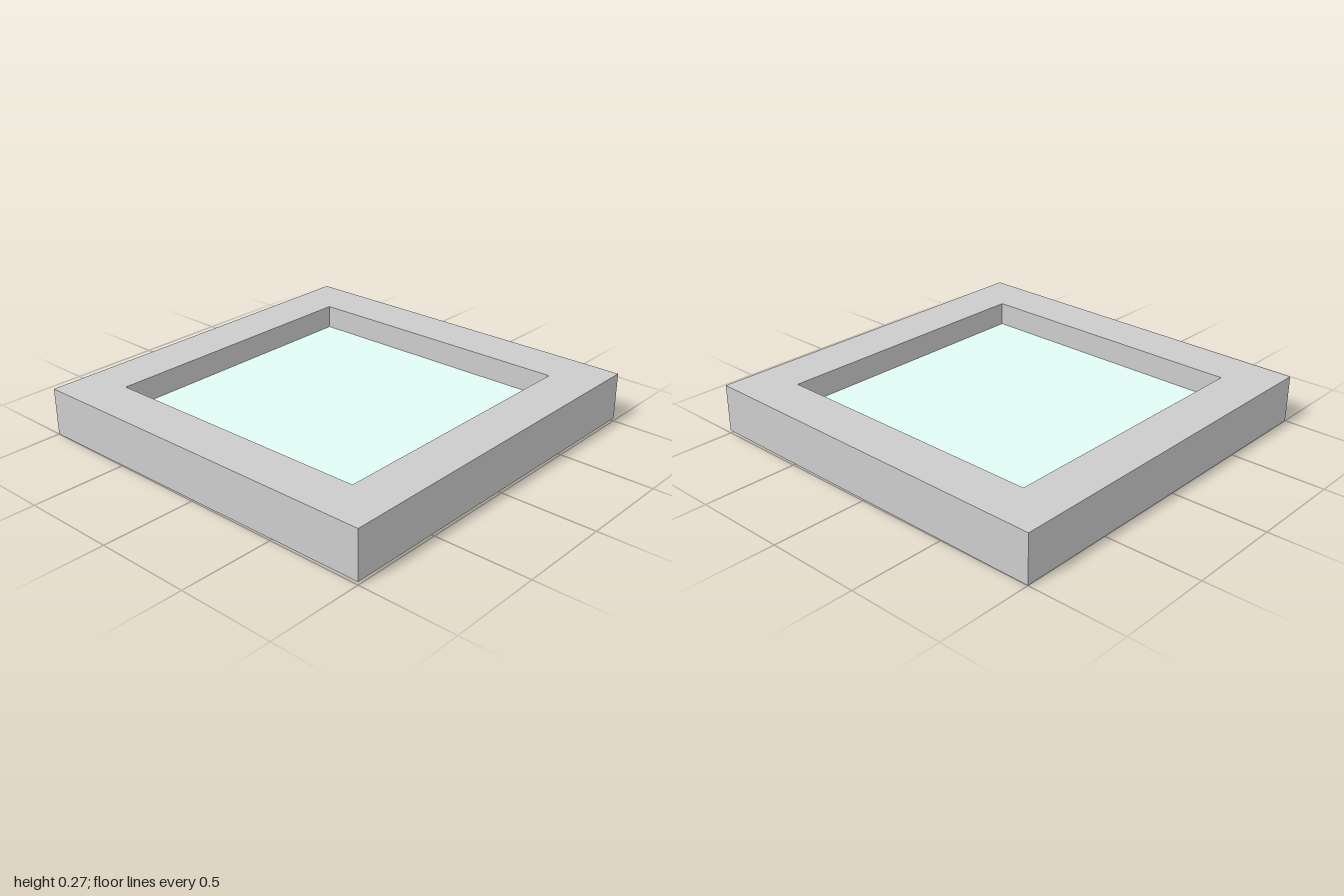
import * as THREE from 'three';

const material = (color) => new THREE.MeshStandardMaterial({ color });

// Thin square sheet lying flat between two heights
function sheet(name, half, y0, y1, color) {
  const mesh = new THREE.Mesh(new THREE.BoxGeometry(2 * half, y1 - y0, 2 * half), material(color));
  mesh.position.y = (y0 + y1) / 2;
  mesh.name = name;
  return mesh;
}

export function createModel() {
  const group = new THREE.Group();
  group.name = 'pictureFrame';

  // Slight tilt that lifts the front edge
  const body = new THREE.Group();
  body.name = 'tiltedBody';
  body.rotation.x = -0.0075;
  body.position.y = 0.0075;
  group.add(body);

  // Square frame: moulding profile [half width, height] with a rebate behind the lip,
  // swept round four sides
  const profile = [
    [0.875, 0], [1, 0], [1, 0.25], [0.75, 0.25], [0.75, 0.125], [0.875, 0.125], [0.875, 0],
  ].map(([half, y]) => new THREE.Vector2(half * Math.SQRT2, y));
  const ring = new THREE.LatheGeometry(profile, 4, Math.PI / 4).toNonIndexed();
  ring.computeVertexNormals();
  const frame = new THREE.Mesh(ring, material(0xcccccc));
  frame.material.flatShading = true;
  frame.name = 'frame';
  body.add(frame);

  // Pane held behind the lip, and the backing board filling the rebate
  body.add(sheet('glassPane', 0.875, 0.105, 0.125, 0xe1fbf4));
  body.add(sheet('backingBoard', 0.875, -0.001, 0.105, 0x937055));

  return group;
}
